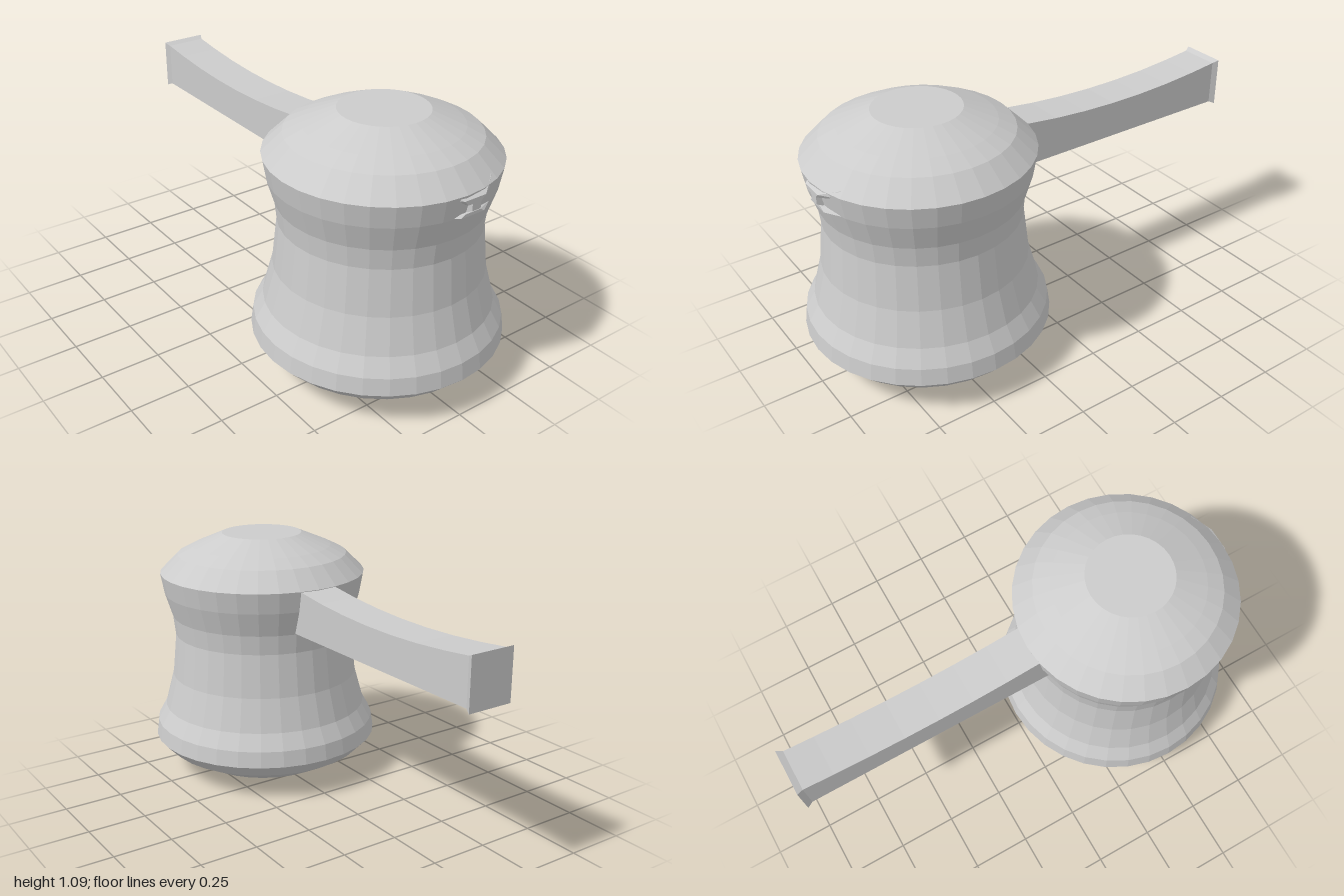
import * as THREE from 'three';
import { ConvexGeometry } from 'three/addons/geometries/ConvexGeometry.js';

const material = new THREE.MeshStandardMaterial({ color: 0xcccccc, flatShading: true });

function addPart(group, name, geometry) {
  const mesh = new THREE.Mesh(geometry, material);
  mesh.name = name;
  group.add(mesh);
  return mesh;
}

// Handle: a box whose top sags in the middle and whose free end flares out
function handleGeometry() {
  const stations = [-1, -0.975, -0.85, -0.7, -0.55, -0.4, -0.25, -0.1, 0.05, 0.18];
  const geometry = new THREE.BoxGeometry(1, 1, 1, stations.length - 1, 1, 1);
  const p = geometry.attributes.position;
  for (let i = 0; i < p.count; i++) {
    const k = Math.round((p.getX(i) + 0.5) * (stations.length - 1));
    const x = stations[k];
    const flare = k === 0 ? 0.011 : 0;
    const top = 0.884 + 0.035 * Math.min(1, ((x + 0.46) / 0.51) ** 2) + flare;
    const bottom = 0.729 - flare;
    p.setXYZ(i, x, p.getY(i) > 0 ? top : bottom, Math.sign(p.getZ(i)) * (0.086 + flare));
  }
  geometry.computeVertexNormals();
  return geometry;
}

// Convex lump from two outlines of [y, z], the outer one pushed out to xOuter
function lumpGeometry(xInner, xOuter, inner, outer) {
  const points = [];
  for (const [y, z] of inner) points.push(new THREE.Vector3(xInner, y, z));
  for (const [y, z] of outer) points.push(new THREE.Vector3(xOuter, y, z));
  return new ConvexGeometry(points);
}

export function createModel() {
  const group = new THREE.Group();

  // Waisted head with a domed top and a tapered base, as [radius, y]
  const profile = [
    [0, 0], [0.215, 0], [0.323, 0.035], [0.45, 0.105], [0.508, 0.165],
    [0.498, 0.235], [0.459, 0.305], [0.42, 0.45], [0.4, 0.64], [0.409, 0.725],
    [0.441, 0.83], [0.457, 0.92], [0.377, 1.0], [0.307, 1.035], [0.177, 1.09], [0, 1.09],
  ].map(([r, y]) => new THREE.Vector2(r, y));
  const head = addPart(group, 'head', new THREE.LatheGeometry(profile, 32));
  head.position.x = 0.492;

  addPart(group, 'handle', handleGeometry());

  // Small worn lip hanging below the shoulder, opposite the handle
  addPart(group, 'lip', lumpGeometry(0.9, 0.956,
    [[0.94, 0.06], [0.94, -0.16], [0.91, 0.07], [0.91, -0.17], [0.88, 0.02], [0.88, -0.08]],
    [[0.905, 0.02], [0.905, -0.08], [0.885, 0], [0.885, -0.06]]));
  addPart(group, 'lipStem', lumpGeometry(0.91, 0.955,
    [[0.9, -0.01], [0.9, -0.07], [0.835, 0], [0.835, -0.07]],
    [[0.89, -0.02], [0.89, -0.06], [0.855, -0.02], [0.855, -0.06]]));
  addPart(group, 'lipLedge', lumpGeometry(0.9, 0.945,
    [[0.848, 0.03], [0.848, -0.1], [0.832, 0.08], [0.832, -0.16]],
    [[0.845, 0], [0.845, -0.07], [0.833, 0.02], [0.833, -0.09]]));

  return group;
}
